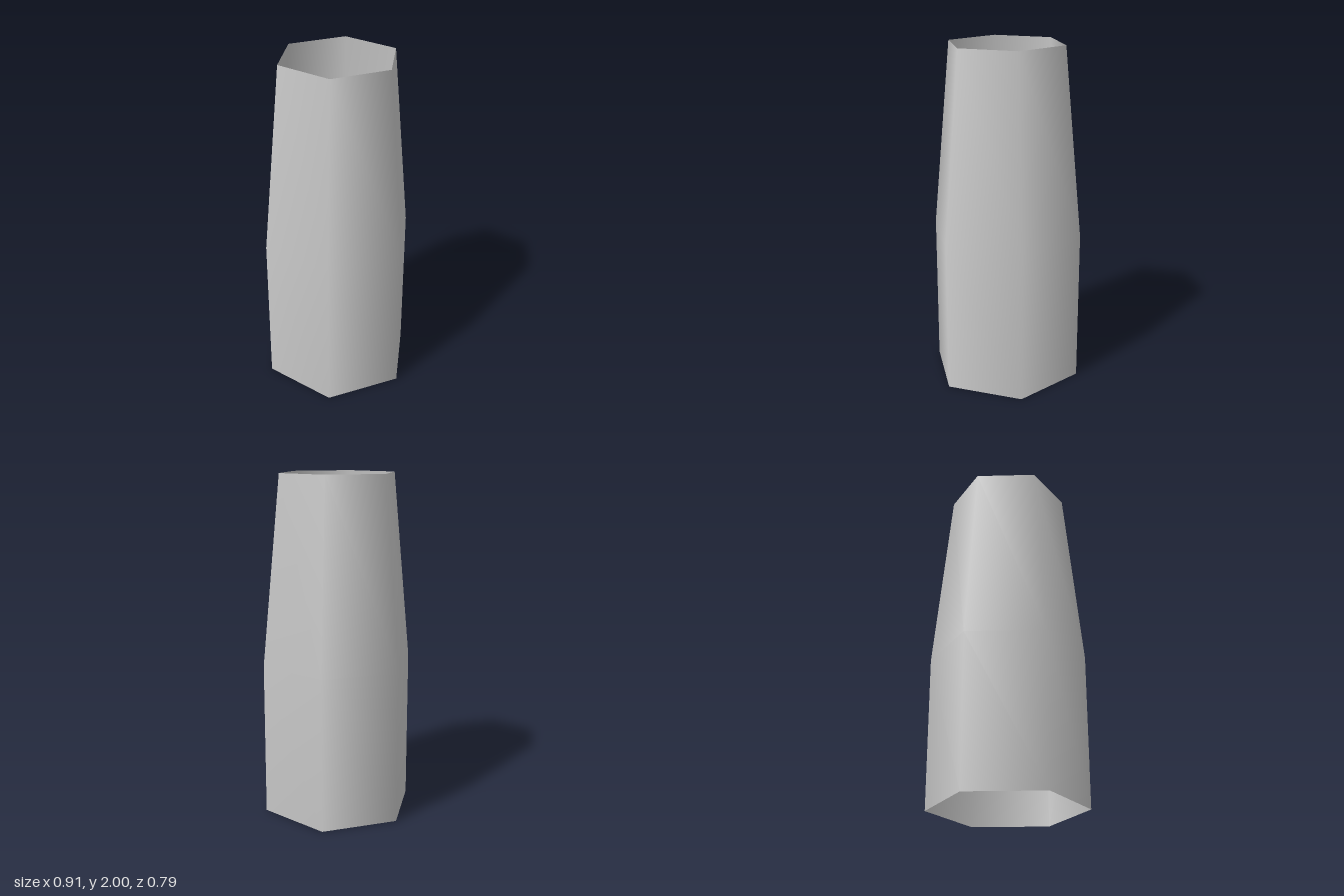
import * as THREE from 'three';

export function createModel() {
  const group = new THREE.Group();
  group.name = 'hexagonalSleeve';

  // Open six-sided tube: straight lower half, tapering upper half, smooth normals
  const profile = [
    new THREE.Vector2(0.455, 0),
    new THREE.Vector2(0.455, 0.9),
    new THREE.Vector2(0.347, 2),
  ];
  // Start at a quarter turn so that two corners lie on the x axis
  const geometry = new THREE.LatheGeometry(profile, 6, Math.PI / 2);
  const material = new THREE.MeshStandardMaterial({ color: 0xcccccc, side: THREE.DoubleSide });

  const wall = new THREE.Mesh(geometry, material);
  wall.name = 'sleeveWall';
  group.add(wall);
  return group;
}
